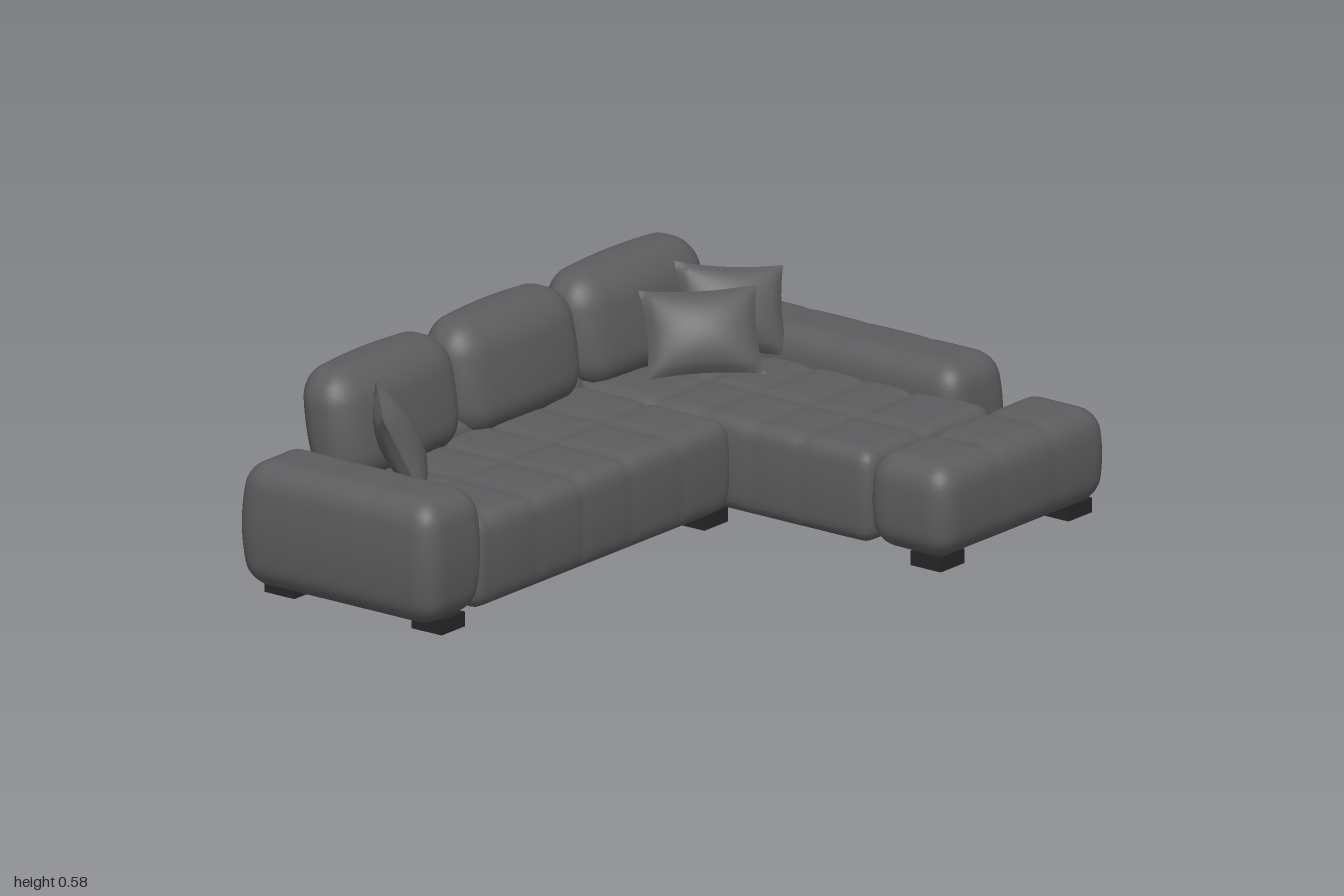
import * as THREE from 'three';
import { mergeVertices, mergeGeometries } from 'three/addons/utils/BufferGeometryUtils.js';

const fabric = new THREE.MeshStandardMaterial({ color: 0x5c5c5e });
fabric.name = 'greyFabric';
const legPaint = new THREE.MeshStandardMaterial({ color: 0x262626 });
legPaint.name = 'blackLeg';

function weld(geo) {
  geo.deleteAttribute('uv');
  geo.deleteAttribute('normal');
  const g = mergeVertices(geo, 1e-5);
  g.computeVertexNormals();
  return g;
}

// Upholstered block: rounded box with stitched seams, narrower top and bottom, optional lean
function block(name, [x0, x1], [y0, y1], [z0, z1], r, opts = {}) {
  const { xs = [], zs = [], depth = 0.012, inset = 0.01, lean = 0, crown = 0 } = opts;
  const min = new THREE.Vector3(x0, y0, z0), max = new THREE.Vector3(x1, y1, z1);
  const size = max.clone().sub(min), mid = min.clone().add(max).multiplyScalar(0.5);
  const segs = size.toArray().map(s => Math.ceil(s / 0.017));
  const geo = new THREE.BoxGeometry(size.x, size.y, size.z, ...segs);
  geo.translate(mid.x, mid.y, mid.z);
  const lo = min.clone().addScalar(r), hi = max.clone().subScalar(r);
  const pos = geo.attributes.position;
  const p = new THREE.Vector3(), q = new THREE.Vector3(), n = new THREE.Vector3();
  for (let i = 0; i < pos.count; i++) {
    p.fromBufferAttribute(pos, i);
    q.copy(p).clamp(lo, hi);
    n.copy(p).sub(q).normalize();
    p.copy(q).addScaledVector(n, r);
    // seams pull the surface inwards
    let pull = 0;
    for (const s of xs) pull = Math.max(pull, Math.exp(-Math.abs(p.x - s) / 0.016));
    for (const s of zs) pull = Math.max(pull, Math.exp(-Math.abs(p.z - s) / 0.016));
    const side = n.y < -0.5 ? 0 : Math.max(0.35, n.y);
    p.addScaledVector(n, -depth * pull * side);
    // bulging sides, crowned top and backward lean
    const t = (p.y - mid.y) / (size.y / 2);
    const u = (p.x - mid.x) / (size.x / 2), w = (p.z - mid.z) / (size.z / 2);
    p.x -= inset * t * t * u;
    p.z -= inset * t * t * w + crown * u * u * w;
    if (t > 0) p.y -= crown * 0.4 * t * u * u;
    p.z += lean * (p.y - mid.y);
    pos.setXYZ(i, p.x, p.y, p.z);
  }
  const mesh = new THREE.Mesh(weld(geo), fabric);
  mesh.name = name;
  return mesh;
}

// Scatter pillow: two puffed faces meeting in a thin edge with pointed corners
function pillow(name, centre, across, up) {
  const face = sign => {
    const g = new THREE.PlaneGeometry(2, 2, 18, 18);
    const pos = g.attributes.position;
    for (let i = 0; i < pos.count; i++) {
      const u = pos.getX(i), v = pos.getY(i);
      const puff = Math.pow(Math.max(0, (1 - u * u) * (1 - v * v)), 0.55);
      pos.setXYZ(i, sign * u * (1 - 0.09 * (1 - v * v)), v * (1 - 0.09 * (1 - u * u)), sign * puff);
    }
    return weld(g);
  };
  const a = new THREE.Vector3(...across), b = new THREE.Vector3(...up);
  const n = a.clone().cross(b).normalize().multiplyScalar(0.055);
  const geo = mergeGeometries([face(1), face(-1)]);
  geo.applyMatrix4(new THREE.Matrix4().makeBasis(a.multiplyScalar(0.5), b.multiplyScalar(0.5), n));
  geo.translate(...centre);
  geo.computeVertexNormals();
  const mesh = new THREE.Mesh(geo, fabric);
  mesh.name = name;
  return mesh;
}

export function createModel() {
  const model = new THREE.Group();
  model.name = 'cornerSofa';

  // Tufted seats
  model.add(
    block('mainSeat', [-0.8, 0.295], [0.03, 0.288], [-0.62, -0.025], 0.045,
      { xs: [-0.74, -0.54, -0.345, -0.14, 0.07], zs: [-0.3] }),
    block('chaiseSeat', [0.27, 0.815], [0.03, 0.288], [-0.62, 0.435], 0.04,
      { xs: [0.515], zs: [-0.3, -0.14, 0.04, 0.2] }),
    block('chaiseEnd', [0.268, 0.98], [0.03, 0.292], [0.415, 0.685], 0.065,
      { xs: [0.515, 0.75], inset: 0.014 }),
  );

  // Arms
  model.add(
    block('rightArm', [-1, -0.745], [0.028, 0.372], [-0.685, -0.025], 0.065,
      { zs: [-0.45, -0.24], depth: 0.004, inset: 0.02 }),
    block('leftArm', [0.75, 1], [0.028, 0.372], [-0.685, 0.34], 0.065,
      { zs: [-0.46, -0.3, -0.1, 0.12], depth: 0.004, inset: 0.02 }),
  );

  // Low back frame in two lengths
  for (const [x0, x1] of [[-0.8, 0.285], [0.275, 0.82]]) {
    model.add(block('backFrame', [x0, x1], [0.03, 0.325], [-0.682, -0.5], 0.04));
  }

  // Back cushions
  for (const [x0, x1] of [[-0.775, -0.255], [-0.257, 0.255], [0.253, 0.795]]) {
    model.add(block('backCushion', [x0, x1], [0.265, 0.576], [-0.674, -0.468], 0.085,
      { lean: -0.16, inset: 0.012, crown: 0.022 }));
  }

  // Scatter pillows
  model.add(
    pillow('rightPillow', [-0.695, 0.41, -0.365], [0.21, 0.015, -0.19], [-0.08, 0.235, -0.08]),
    pillow('leftFrontPillow', [0.535, 0.4, -0.33], [0.225, 0.005, 0.22], [0.085, 0.205, -0.095]),
    pillow('leftRearPillow', [0.7, 0.415, -0.36], [0.21, -0.025, 0.2], [0.06, 0.225, -0.07]),
  );

  // Legs
  const spots = [[-0.87, -0.59], [-0.87, -0.1], [0.24, -0.59], [0.24, -0.1],
    [0.89, -0.59], [0.89, 0.27], [0.89, 0.6], [0.35, 0.6]];
  for (const [x, z] of spots) {
    const leg = new THREE.Mesh(new THREE.BoxGeometry(0.1, 0.04, 0.1), legPaint);
    leg.position.set(x, 0.02, z);
    leg.name = 'leg';
    model.add(leg);
  }
  return model;
}
